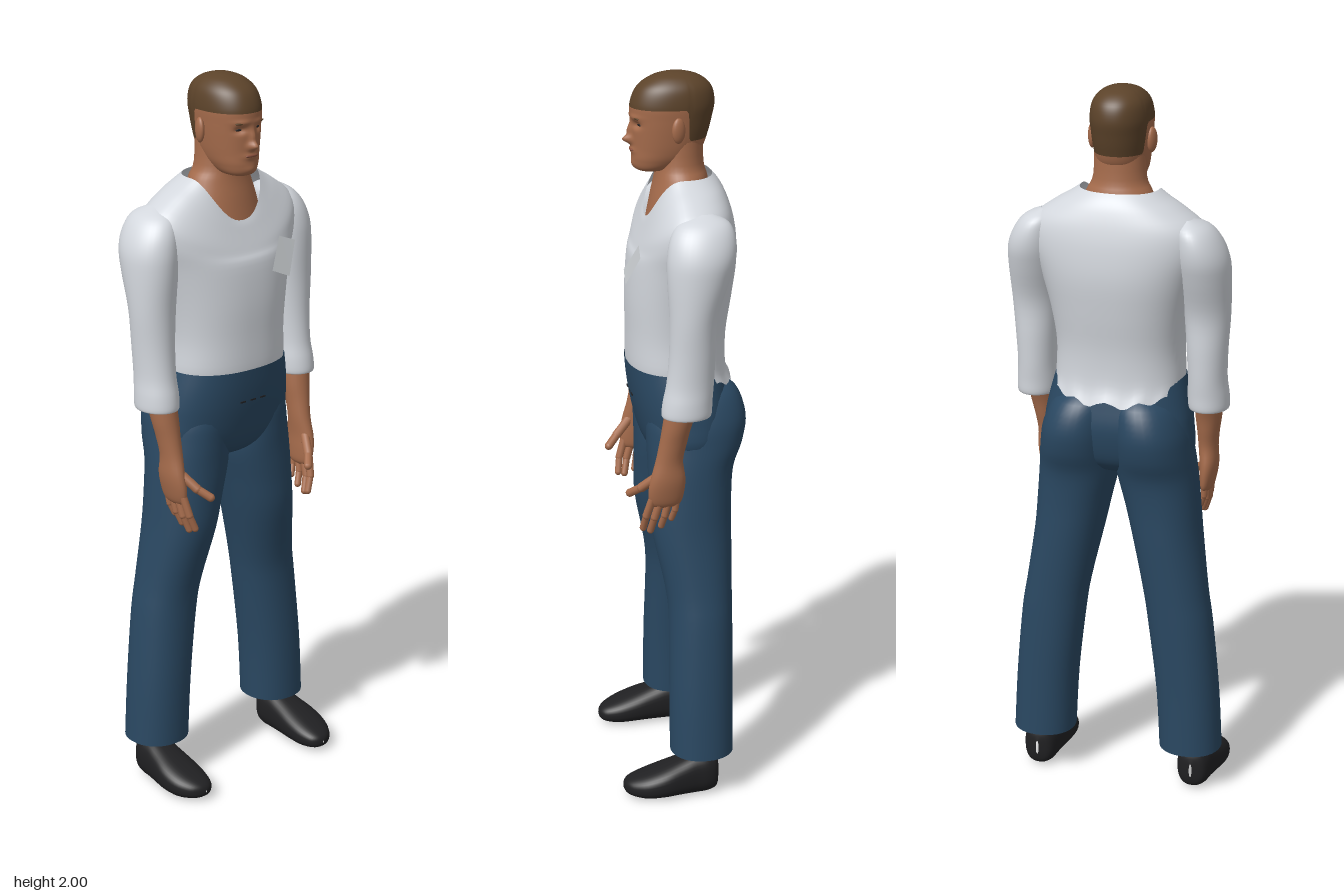
import * as THREE from 'three';

const material = (name, color, side = THREE.FrontSide) => {
  const m = new THREE.MeshStandardMaterial({ color, side });
  m.name = name;
  return m;
};

// Smooth (Catmull-Rom) interpolation of a table of section rows at position p
function rowAt(rows, p) {
  const last = rows.length - 1;
  const i = Math.min(Math.floor(p), last - 1), t = p - i;
  const at = (k) => rows[Math.max(0, Math.min(last, k))];
  const [a, b, c, d] = [at(i - 1), at(i), at(i + 1), at(i + 2)];
  return b.map((v, k) => v + 0.5 * t * (c[k] - a[k] + t * (2 * a[k] - 5 * v + 4 * c[k] - d[k]
    + t * (3 * (v - c[k]) + d[k] - a[k]))));
}

// Point on a section row [y, centreX, radiusX, frontZ, backZ]
function sectionPoint(r, a, n = 2) {
  const pw = (v) => Math.sign(v) * Math.pow(Math.abs(v), 2 / n);
  return new THREE.Vector3(r[1] + r[2] * pw(Math.cos(a)), r[0],
    (r[3] + r[4]) / 2 + pw(Math.sin(a)) * (r[3] - r[4]) / 2);
}

// Closed-around surface from fn(angle, t), t rising with y
function surface(fn, nu, nv) {
  const pos = [], index = [];
  for (let i = 0; i <= nv; i++) {
    for (let j = 0; j < nu; j++) {
      const v = fn((j / nu) * Math.PI * 2, i / nv);
      pos.push(v.x, v.y, v.z);
      if (i === nv) continue;
      const k = (j + 1) % nu, a = i * nu + j, b = i * nu + k;
      index.push(a, a + nu, b, b, a + nu, b + nu);
    }
  }
  const g = new THREE.BufferGeometry();
  g.setAttribute('position', new THREE.Float32BufferAttribute(pos, 3));
  g.setIndex(index);
  g.computeVertexNormals();
  return g;
}

// Loft through rows listed from low to high; side mirrors the centre in x
function loft(rows, { side = 1, n = 2, nu = 36, adjust } = {}) {
  const last = rows.length - 1;
  return surface((a, t) => {
    const r = rowAt(rows, t * last);
    r[1] *= side;
    const v = sectionPoint(r, a, n);
    if (adjust) adjust(v, a, r);
    return v;
  }, nu, last * 4);
}

export function createModel() {
  const model = new THREE.Group();
  model.name = 'standingMan';
  const shirt = material('shirt white', 0xd3d7dd, THREE.DoubleSide);
  const denim = material('trouser blue', 0x2a4862, THREE.DoubleSide);
  const skin = material('skin', 0xa66c4c);
  const hair = material('hair brown', 0x5c432a);
  const black = material('shoe black', 0x202022);
  const lip = material('lip', 0x8a523e);
  const paper = material('card grey', 0xc6cacd, THREE.DoubleSide);

  const add = (name, geometry, mat, parent = model) => {
    const m = new THREE.Mesh(geometry, mat);
    m.name = name;
    parent.add(m);
    return m;
  };
  const blob = (name, mat, p, s) => {
    const m = add(name, new THREE.SphereGeometry(1, 20, 14), mat);
    m.position.set(...p);
    m.scale.set(...s);
    return m;
  };

  // Head: one profile, split along the hairline
  const headRows = [
    [1.735, 0, 0.012, 0.075, 0.04], [1.745, 0, 0.043, 0.1, 0], [1.77, 0, 0.06, 0.108, -0.05],
    [1.8, 0, 0.069, 0.108, -0.08], [1.84, 0, 0.075, 0.11, -0.095], [1.88, 0, 0.079, 0.112, -0.105],
    [1.92, 0, 0.081, 0.112, -0.112], [1.96, 0, 0.073, 0.094, -0.103], [1.985, 0, 0.052, 0.06, -0.075],
    [1.997, 0, 0.024, 0.022, -0.038], [2, 0, 0, -0.01, -0.01]];
  const bumps = [ // x, y, width, height, push
    [0, 1.822, 0.012, 0.011, 0.022], [0, 1.845, 0.009, 0.02, 0.011], [0, 1.795, 0.022, 0.009, 0.006],
    [0, 1.757, 0.02, 0.012, 0.004], [0.031, 1.866, 0.014, 0.009, -0.011], [-0.031, 1.866, 0.014, 0.009, -0.011],
    [0.03, 1.886, 0.022, 0.007, 0.004], [-0.03, 1.886, 0.022, 0.007, 0.004]];
  const headPoint = (a, p) => {
    const v = sectionPoint(rowAt(headRows, p), a, 2.15), { x, y } = v;
    if (v.z > 0.03) for (const [bx, by, w, h, d] of bumps)
      v.z += d * Math.exp(-(((x - bx) / w) ** 2) - ((y - by) / h) ** 2);
    return v;
  };
  const hairline = (a) => 3.65 + 2.1 * THREE.MathUtils.smoothstep(Math.sin(a), -0.42, -0.22);
  add('face', surface((a, t) => headPoint(a, t * hairline(a)), 96, 60), skin);
  add('hair', surface((a, t) => headPoint(a, THREE.MathUtils.lerp(hairline(a), 10, t)), 96, 32), hair);
  blob('mouth', lip, [0, 1.796, 0.109], [0.021, 0.005, 0.006]);

  // Neck and upper chest
  add('neck', loft([
    [1.55, 0, 0.14, 0.08, -0.09], [1.61, 0, 0.12, 0.069, -0.09], [1.67, 0, 0.106, 0.058, -0.095],
    [1.72, 0, 0.09, 0.048, -0.093], [1.76, 0, 0.072, 0.045, -0.083], [1.86, 0, 0.068, 0.04, -0.08]]), skin);

  // Shirt body; the last two columns lower the neckline in front and the hem behind
  add('shirtBody', loft([
    [1.19, 0, 0.176, 0.122, -0.157, 0, 0.032], [1.22, 0, 0.178, 0.126, -0.14, 0, 0.012],
    [1.3, 0, 0.176, 0.126, -0.14, 0, 0], [1.4, 0, 0.19, 0.126, -0.154, 0, 0],
    [1.5, 0, 0.215, 0.118, -0.165, 0, 0], [1.58, 0, 0.24, 0.106, -0.161, 0.05, 0],
    [1.64, 0, 0.235, 0.098, -0.15, 0.087, 0], [1.685, 0, 0.18, 0.088, -0.135, 0.103, 0],
    [1.712, 0, 0.135, 0.081, -0.12, 0.11, 0], [1.73, 0, 0.108, 0.075, -0.104, 0.115, 0]],
  { n: 2.3, nu: 64, adjust: (v, a, r) => {
    const s = Math.sin(a);
    if (s > 0) v.y -= r[5] * s ** 2.2;
    else v.y -= r[6] * (-s) ** 1.5 * (1 + 0.3 * Math.sin(13 * a));
  } }), shirt);

  // Chest card
  const card = new THREE.BufferGeometry();
  card.setAttribute('position', new THREE.Float32BufferAttribute(
    [0.1, 1.56, 0.108, 0.048, 1.48, 0.14, 0.105, 1.455, 0.145, 0.153, 1.54, 0.113], 3));
  card.setIndex([0, 1, 2, 0, 2, 3]);
  card.computeVertexNormals();
  add('chestCard', card, paper);

  // Trouser seat
  add('trouserSeat', loft([
    [0.94, 0, 0.02, 0.02, -0.07], [0.96, 0, 0.11, 0.06, -0.11], [1, 0, 0.205, 0.088, -0.14],
    [1.08, 0, 0.207, 0.11, -0.157], [1.15, 0, 0.195, 0.122, -0.148], [1.213, 0, 0.179, 0.128, -0.135]],
  { n: 2.3, nu: 48 }), denim);
  for (const x of [-0.035, 0, 0.035]) {
    const stitch = add('waistStitch', new THREE.BoxGeometry(0.018, 0.004, 0.005), black);
    stitch.position.set(x, 1.122, 0.117);
  }

  for (const side of [1, -1]) {
    const tag = side > 0 ? 'left' : 'right';

    // Ear, eye and brow
    blob(tag + 'Ear', skin, [side * 0.083, 1.858, -0.002], [0.011, 0.034, 0.019]).rotation.y = side * 0.3;
    blob(tag + 'Eye', black, [side * 0.031, 1.866, 0.0925], [0.012, 0.0035, 0.004]).rotation.y = side * 0.3;
    blob(tag + 'Brow', hair, [side * 0.032, 1.884, 0.104], [0.018, 0.003, 0.004]).rotation.y = side * 0.3;

    // Sleeve with a turned-in cuff
    add(tag + 'Sleeve', loft([
      [1.14, 0.245, 0.036, 0.05, -0.035], [1.128, 0.245, 0.05, 0.068, -0.052], [1.135, 0.245, 0.056, 0.074, -0.06],
      [1.17, 0.244, 0.056, 0.07, -0.062], [1.22, 0.243, 0.053, 0.06, -0.066], [1.3, 0.243, 0.056, 0.053, -0.07],
      [1.4, 0.243, 0.063, 0.052, -0.075], [1.5, 0.238, 0.071, 0.057, -0.108], [1.56, 0.233, 0.072, 0.056, -0.125],
      [1.61, 0.223, 0.062, 0.045, -0.125], [1.645, 0.21, 0.045, 0.02, -0.11], [1.665, 0.2, 0.01, -0.03, -0.07]],
    { side }), shirt);

    // Forearm and palm
    add(tag + 'Forearm', loft([
      [0.862, 0.226, 0.004, 0.08, 0.045], [0.875, 0.228, 0.016, 0.103, 0.02], [0.91, 0.232, 0.022, 0.108, 0.01],
      [0.95, 0.235, 0.025, 0.102, 0.008], [1, 0.233, 0.027, 0.088, 0.014], [1.05, 0.235, 0.031, 0.078, 0.004],
      [1.1, 0.238, 0.037, 0.07, -0.008], [1.17, 0.242, 0.04, 0.06, -0.035]], { side, nu: 24 }), skin);

    // Fingers: jointed capsules through three points each
    const hand = new THREE.Group();
    hand.name = tag + 'Fingers';
    model.add(hand);
    const fingers = [
      ['thumb', 0.013, [0.228, 0.955, 0.08], [0.203, 0.915, 0.122], [0.178, 0.892, 0.149]],
      ['indexFinger', 0.011, [0.23, 0.89, 0.097], [0.222, 0.84, 0.112], [0.207, 0.8, 0.118]],
      ['middleFinger', 0.011, [0.23, 0.885, 0.075], [0.226, 0.835, 0.09], [0.212, 0.793, 0.099]],
      ['ringFinger', 0.0105, [0.23, 0.885, 0.052], [0.226, 0.84, 0.062], [0.213, 0.805, 0.07]],
      ['littleFinger', 0.0095, [0.23, 0.89, 0.03], [0.226, 0.855, 0.034], [0.215, 0.825, 0.042]]];
    for (const [name, r, ...pts] of fingers) {
      const p = pts.map(([x, y, z]) => new THREE.Vector3(side * x, y, z));
      for (let i = 0; i < 2; i++) {
        const d = p[i + 1].clone().sub(p[i]);
        const m = add(name, new THREE.CapsuleGeometry(r * (1 - 0.12 * i), d.length(), 5, 10), skin, hand);
        m.position.copy(p[i]).addScaledVector(d, 0.5);
        m.quaternion.setFromUnitVectors(new THREE.Vector3(0, 1, 0), d.normalize());
      }
    }

    // Trouser leg, its top rounding into the buttock
    add(tag + 'TrouserLeg', loft([
      [0.125, 0.2175, 0.0875, 0.045, -0.13], [0.3, 0.2075, 0.0875, 0.045, -0.13], [0.5, 0.186, 0.09, 0.042, -0.132],
      [0.6, 0.17, 0.09, 0.05, -0.133], [0.75, 0.143, 0.096, 0.08, -0.136], [0.85, 0.127, 0.103, 0.085, -0.138],
      [0.94, 0.112, 0.11, 0.087, -0.147], [1.01, 0.107, 0.106, 0.09, -0.173], [1.08, 0.1, 0.1, 0.09, -0.182],
      [1.15, 0.085, 0.08, 0.07, -0.158], [1.19, 0.075, 0.02, 0, -0.1]], { side, n: 2.15 }), denim);

    // Ankle and shoe
    const ankle = add(tag + 'Ankle', new THREE.CylinderGeometry(0.042, 0.036, 0.2, 20), skin);
    ankle.position.set(side * 0.228, 0.18, -0.045);
    const shoe = loft([
      [-0.088, 0.23, 0.004, -0.04, -0.08], [-0.08, 0.23, 0.034, -0.012, -0.112], [-0.055, 0.23, 0.047, -0.002, -0.121],
      [-0.02, 0.231, 0.05, 0, -0.119], [0.02, 0.233, 0.055, 0, -0.106], [0.07, 0.235, 0.061, 0, -0.088],
      [0.12, 0.233, 0.057, 0, -0.07], [0.158, 0.228, 0.041, -0.006, -0.055], [0.175, 0.225, 0.022, -0.014, -0.044],
      [0.181, 0.224, 0.002, -0.026, -0.032]], { side, n: 2.5 });
    shoe.rotateX(Math.PI / 2);
    add(tag + 'Shoe', shoe, black);
  }
  return model;
}
